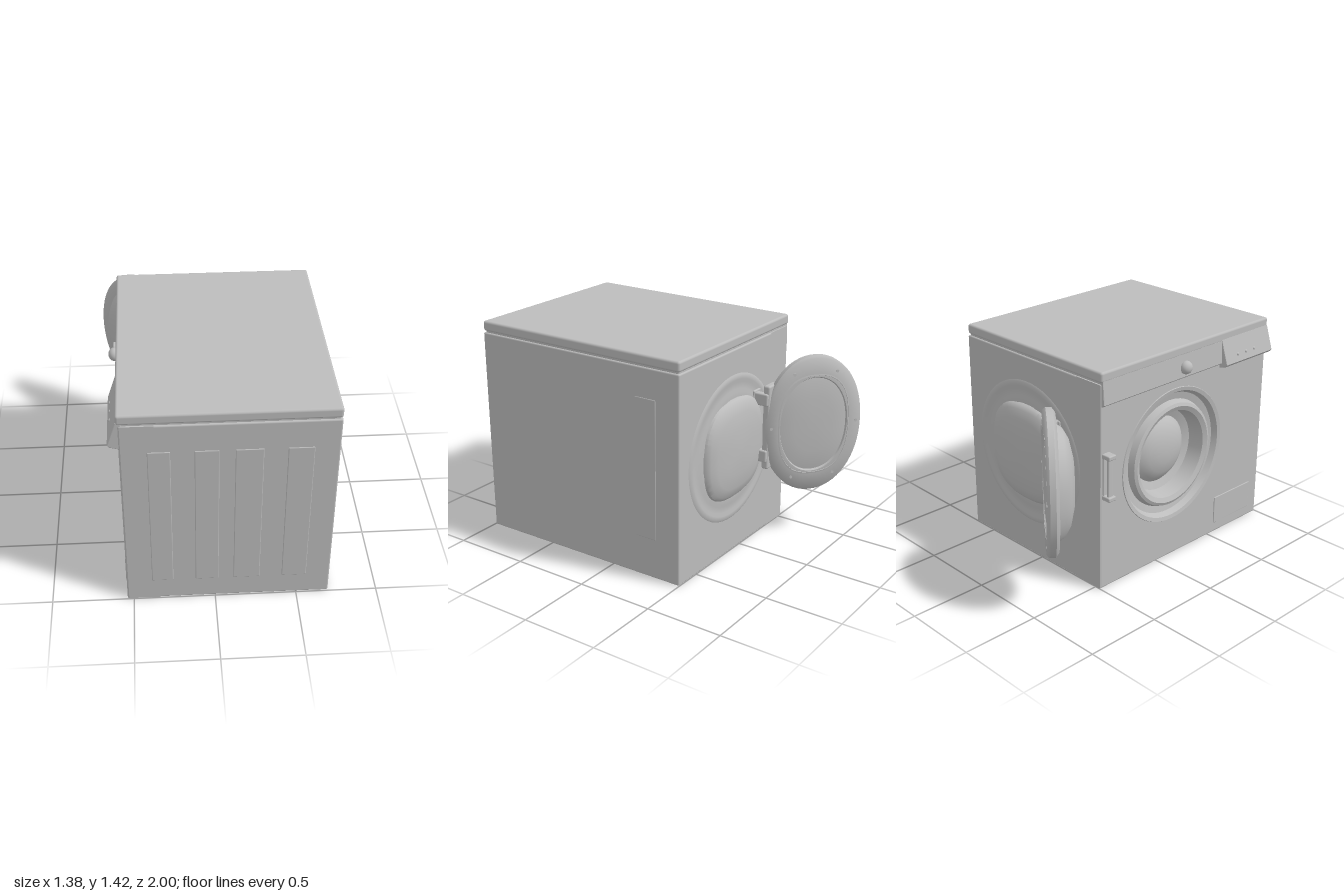
import * as THREE from 'three';
import { toCreasedNormals } from 'three/addons/utils/BufferGeometryUtils.js';
import { RoundedBoxGeometry } from 'three/addons/geometries/RoundedBoxGeometry.js';

export function createModel() {
  const model = new THREE.Group();
  const grey = new THREE.MeshStandardMaterial({ color: 0xbcbcbc, side: THREE.DoubleSide });
  grey.name = 'enamelGrey';

  function add(name, geo, parent = model) {
    const mesh = new THREE.Mesh(geo, grey);
    mesh.name = name;
    parent.add(mesh);
    return mesh;
  }

  // the side wall on +x leans in slightly towards -z
  function taper(geo) {
    const p = geo.attributes.position;
    for (let i = 0; i < p.count; i++) {
      if (p.getX(i) > 0.5) p.setX(i, p.getX(i) - 0.015 * (1 - p.getZ(i)) / 1.5);
    }
    return geo;
  }

  // box given by its limits
  function box(name, x0, x1, y0, y1, z0, z1, r = 0.01, parent = model) {
    const g = new RoundedBoxGeometry(x1 - x0, y1 - y0, z1 - z0, 3, r);
    g.translate((x0 + x1) / 2, (y0 + y1) / 2, (z0 + z1) / 2);
    return add(name, taper(g), parent);
  }

  // turned disc about y; power above 2 makes the outline squarer
  function disc(profile, power = 2) {
    const g = new THREE.LatheGeometry(profile.map(([r, h]) => new THREE.Vector2(r, h)), 64);
    const p = g.attributes.position;
    for (let i = 0; i < p.count; i++) {
      const a = Math.atan2(p.getZ(i), p.getX(i));
      const k = Math.pow(Math.abs(Math.cos(a)) ** power + Math.abs(Math.sin(a)) ** power, -1 / power);
      p.setX(i, p.getX(i) * k);
      p.setZ(i, p.getZ(i) * k);
    }
    g.computeVertexNormals();
    return toCreasedNormals(g, 0.6);
  }

  // cabinet, seam and worktop
  box('cabinet', -0.37, 0.7, 0, 1.345, -0.5, 0.995);
  box('seam', -0.53, 0.69, 1.32, 1.38, -0.49, 0.985);
  box('worktop', -0.55, 0.7, 1.355, 1.42, -0.5, 0.995, 0.015);

  // loading wall with a round opening
  const cy = 0.71, cz = 0.13;
  const wall = new THREE.Shape();
  wall.moveTo(-0.995, 0).lineTo(0.5, 0).lineTo(0.5, 1.345).lineTo(-0.995, 1.345).closePath();
  const hole = new THREE.Path();
  hole.absarc(-cz, cy, 0.42, 0, Math.PI * 2, true);
  wall.holes.push(hole);
  const wallGeo = new THREE.ExtrudeGeometry(wall, {
    depth: 0.19, bevelSize: 0.01, bevelOffset: -0.01, bevelThickness: 0.01, bevelSegments: 2, curveSegments: 48,
  });
  wallGeo.rotateY(Math.PI / 2);
  wallGeo.translate(-0.53, 0, 0);
  add('loadingWall', wallGeo);

  // seal and drum sunk into the opening
  const drum = add('drumOpening', disc([[0.45, -0.004], [0.445, 0.005], [0.42, 0], [0.4, -0.035], [0.355, -0.045],
    [0.34, -0.005], [0.32, 0.004], [0.29, -0.01], [0.27, -0.11], [0.22, -0.13],
    [0.19, -0.1], [0.14, -0.07], [0.07, -0.055], [0, -0.05]]));
  drum.rotation.z = Math.PI / 2;
  drum.position.set(-0.54, cy, cz);

  // sloping control strip and the detergent drawer front
  function strip(name, points, z0, z1) {
    const s = new THREE.Shape(points.map(([x, y]) => new THREE.Vector2(x, y)));
    const g = new THREE.ExtrudeGeometry(s, {
      depth: z1 - z0 - 0.01, bevelSize: 0.005, bevelOffset: -0.005, bevelThickness: 0.005, bevelSegments: 2,
    });
    g.translate(0, 0, z0 + 0.005);
    add(name, g);
  }
  strip('controlStrip', [[-0.52, 1.365], [-0.55, 1.365], [-0.56, 1.22], [-0.52, 1.19]], -0.49, 0.56);
  strip('drawerFront', [[-0.52, 1.37], [-0.552, 1.37], [-0.602, 1.215], [-0.59, 1.2], [-0.52, 1.18]], 0.54, 0.99);
  for (const z of [0.66, 0.74, 0.82]) {
    const button = add('button', new THREE.SphereGeometry(0.012, 12, 8));
    button.position.set(-0.582, 1.26, z);
  }
  const knob = add('knob', new THREE.SphereGeometry(0.042, 24, 16));
  knob.scale.x = 0.9;
  knob.position.set(-0.563, 1.28, 0.2);

  // filter flap
  box('filterFlap', -0.546, -0.535, 0.07, 0.26, 0.55, 0.91, 0.004);

  // door catch: upright bar on two feet
  const latch = new THREE.Group();
  latch.name = 'doorCatch';
  model.add(latch);
  for (const y of [0.61, 0.88]) box('catchFoot', -0.6, -0.53, y, y + 0.03, -0.485, -0.425, 0.008, latch);
  box('catchBar', -0.585, -0.565, 0.62, 0.9, -0.475, -0.435, 0.008, latch);
  box('catchPlate', -0.548, -0.53, 0.61, 0.91, -0.48, -0.43, 0.006, latch);

  // bulge and surrounding ring on the -z wall
  const ring = add('bulgeRing', disc([[0.48, -0.002], [0.465, 0.007], [0.44, 0.007], [0.42, 0.002],
    [0.38, 0.002], [0.36, 0.006], [0.33, 0.006]]));
  const bulge = add('bulge', disc([[0.325, -0.005], [0.318, 0.02], [0.295, 0.04], [0.24, 0.057],
    [0.15, 0.068], [0, 0.074]], 2.7));
  for (const part of [ring, bulge]) {
    part.rotation.x = -Math.PI / 2;
    part.position.set(0.11, cy, -0.5);
  }

  // open door
  const door = new THREE.Group();
  door.name = 'door';
  door.position.set(-0.388, 0.775, -0.8);
  door.rotation.y = Math.PI - 0.666;
  model.add(door);
  function doorPart(name, profile, power) {
    const m = add(name, disc(profile, power).rotateX(Math.PI / 2), door);
    m.scale.set(0.33, 0.455, 1);
  }
  doorPart('doorBowl', [[0, -0.175], [0.35, -0.168], [0.58, -0.145], [0.72, -0.11], [0.8, -0.06]], 2.2);
  doorPart('doorRim', [[0.7, -0.06], [0.94, -0.07], [1, -0.05], [1, -0.015], [0.97, 0], [0.7, 0], [0.66, -0.03]], 2.1);
  doorPart('doorGlass', [[0.74, 0.001], [0.72, 0.003], [0.7, -0.015], [0.6, -0.006], [0.4, 0.002], [0, 0.003]], 2.6);
  for (let i = 0; i < 6; i++) {
    const a = i * Math.PI / 3;
    const screw = add('screw', new THREE.CylinderGeometry(0.01, 0.01, 0.006, 12).rotateX(Math.PI / 2), door);
    screw.position.set(0.29 * Math.cos(a), 0.4 * Math.sin(a), 0.001);
  }

  // hinge between door and wall
  box('hingePlate', -0.2, -0.12, 0.54, 1.02, -0.515, -0.49, 0.008);
  for (const y of [0.55, 0.93]) box('hingeArm', -0.17, -0.125, y, y + 0.08, -0.605, -0.5, 0.01);
  box('hingeBar', -0.25, -0.14, 0.5, 1.06, -0.61, -0.565, 0.012);

  // shallow pressed ribs on the walls
  function rib(name, w, y0, y1) {
    const m = add(name, new RoundedBoxGeometry(w, y1 - y0, 0.012, 3, 0.005));
    m.position.y = (y0 + y1) / 2;
    return m;
  }
  for (const [x, w] of [[-0.32, 0.13], [-0.05, 0.14], [0.19, 0.16], [0.48, 0.15]]) {
    rib('wallRib', w, 0.15, 1.16).position.set(x, 0.655, 0.993);
  }
  const sideRib = rib('sideRib', 0.15, 0.26, 1.16);
  sideRib.rotation.y = Math.PI / 2;
  sideRib.position.set(0.684, 0.71, -0.26);

  return model;
}
